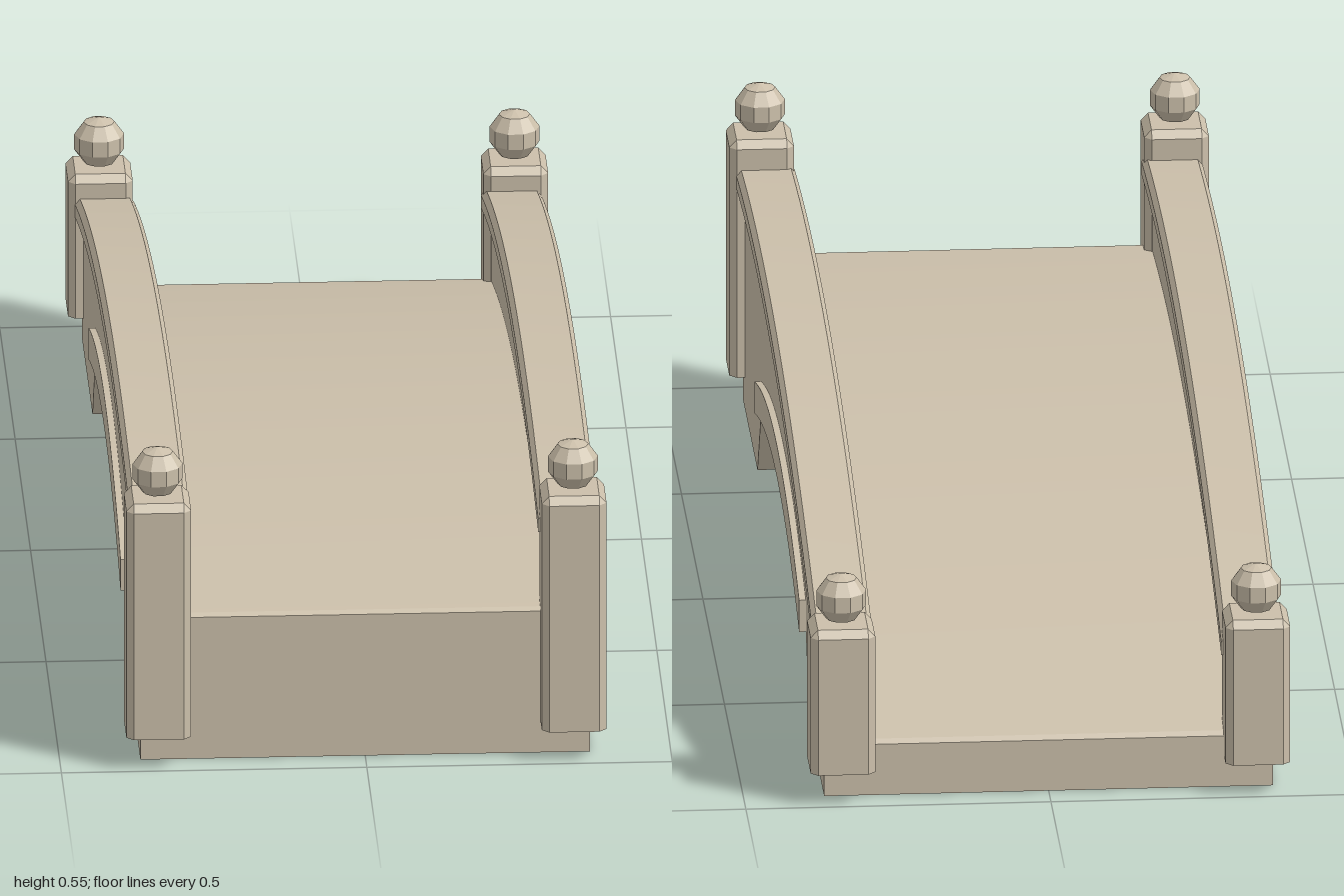
import * as THREE from 'three';
import { toCreasedNormals } from 'three/addons/utils/BufferGeometryUtils.js';
import { ConvexGeometry } from 'three/addons/geometries/ConvexGeometry.js';

const stone = new THREE.MeshStandardMaterial({ color: 0xcbbfaa });
stone.name = 'stone';

const END = 0.947; // half length of the bridge body
const railTop = z => 0.425 + 0.0844 * z - 0.106 * z * z;
const deckTop = z => railTop(z) - 0.162;
const archUnder = z => 0.21 - 0.08 * (z / 0.52) ** 2;

// Points along a height curve, from z = a to z = b
function curve(f, a, b, n = 24) {
  return Array.from({ length: n + 1 }, (_, i) => {
    const z = a + (b - a) * i / n;
    return new THREE.Vector2(z, f(z));
  });
}

function add(parent, name, geometry) {
  const mesh = new THREE.Mesh(geometry, stone);
  mesh.name = name;
  parent.add(mesh);
  return mesh;
}

// Side profile (z, y) given thickness across x, centred on x = cx
function slab(points, width, cx = 0) {
  const g = new THREE.ExtrudeGeometry(new THREE.Shape(points), { depth: width, bevelEnabled: false });
  g.translate(0, 0, -width / 2);
  g.rotateY(-Math.PI / 2);
  g.translate(cx, 0, 0);
  return toCreasedNormals(g, 0.35);
}

// Chamfered square post with a bevelled top
function postGeometry(bottom, top) {
  const h = 0.053, c = 0.041, points = [];
  for (const sx of [-1, 1]) for (const sz of [-1, 1]) {
    for (const y of [bottom, top - 0.013]) {
      points.push(new THREE.Vector3(sx * h, y, sz * c), new THREE.Vector3(sx * c, y, sz * h));
    }
    points.push(new THREE.Vector3(sx * c, top, sz * c));
  }
  return new ConvexGeometry(points);
}

// Moulded handrail swept along the rail curve
function railGeometry(cx) {
  const w = 0.049, t = 0.041;
  const section = new THREE.Shape([
    new THREE.Vector2(-w, -0.032), new THREE.Vector2(w, -0.032), new THREE.Vector2(w, -0.01),
    new THREE.Vector2(t, 0), new THREE.Vector2(-t, 0), new THREE.Vector2(-w, -0.01),
  ]);
  const length = 1.86;
  const g = new THREE.ExtrudeGeometry(section, { depth: length, steps: 24, bevelEnabled: false });
  g.translate(cx, 0, -length / 2);
  const p = g.attributes.position;
  for (let i = 0; i < p.count; i++) p.setY(i, p.getY(i) + railTop(p.getZ(i)));
  return toCreasedNormals(g, 0.35);
}

export function createModel() {
  const bridge = new THREE.Group();
  bridge.name = 'stoneBridge';

  // Underside shared by the body and the side walls
  const underside = [
    new THREE.Vector2(-END, 0), new THREE.Vector2(-0.605, 0),
    ...curve(archUnder, -0.52, 0.52),
    new THREE.Vector2(0.605, 0), new THREE.Vector2(END, 0),
  ];

  // Deck and abutments, with a small bevel at each end of the deck
  add(bridge, 'body', slab([
    ...underside,
    new THREE.Vector2(END, deckTop(END)),
    ...curve(z => deckTop(z) + 0.004, END - 0.009, -END + 0.009),
    new THREE.Vector2(-END, deckTop(-END)),
  ], 0.736));

  for (const side of [1, -1]) {
    const label = side > 0 ? 'left' : 'right';

    // Parapet wall standing on the deck edge
    add(bridge, label + 'Parapet', slab([
      ...curve(z => deckTop(z) - 0.02, -0.94, 0.94),
      ...curve(z => railTop(z) - 0.02, 0.94, -0.94),
    ], 0.068, side * 0.334));
    add(bridge, label + 'Handrail', railGeometry(side * 0.333));

    // Raised band around the arch opening
    add(bridge, label + 'ArchTrim', slab([
      ...curve(archUnder, -0.52, 0.52),
      ...curve(z => archUnder(z) + 0.055, 0.52, -0.52),
    ], 0.03, side * 0.364));

    // Corner posts with faceted ball finials
    for (const [end, z, top] of [['Front', END, 0.465], ['Back', -END, 0.304]]) {
      const post = new THREE.Group();
      post.name = label + end + 'Post';
      post.position.set(side * 0.34, 0, z);
      add(post, 'shaft', postGeometry(0.055, top));
      const ball = new THREE.SphereGeometry(0.043, 10, 5).toNonIndexed();
      ball.computeVertexNormals();
      add(post, 'ballFinial', ball).position.y = top + 0.041;
      bridge.add(post);
    }
  }
  return bridge;
}
